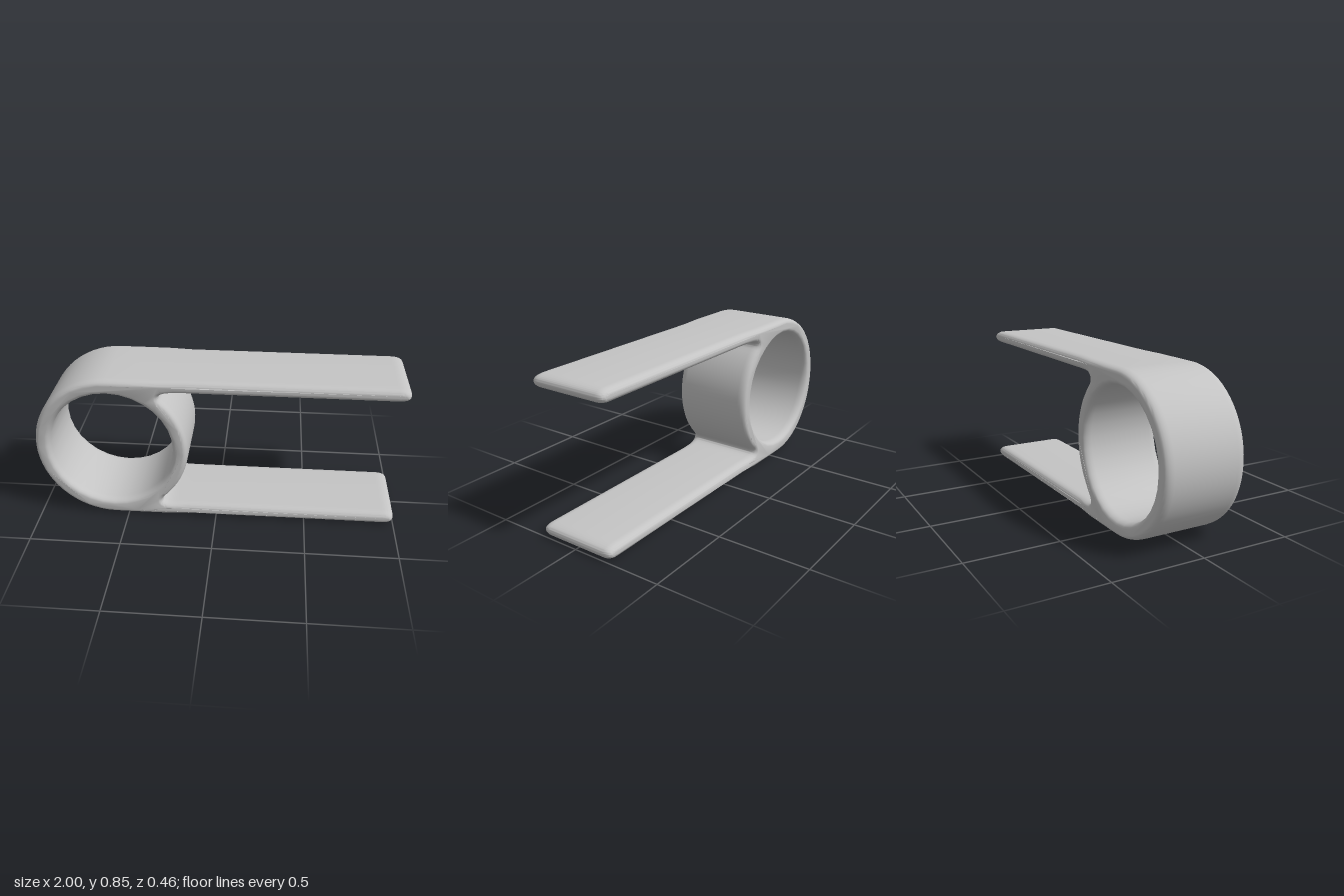
import * as THREE from 'three';
import { toCreasedNormals } from 'three/addons/utils/BufferGeometryUtils.js';

const CX = -0.575, CY = 0.425, H = 0.85; // ring centre and overall height

// Side outline: round ring merging into two parallel flat arms
function clipOutline() {
  const s = new THREE.Shape();
  s.moveTo(CX, 0);
  for (const x of [-0.45, -0.3, -0.16, 0.93]) s.lineTo(x, 0);
  // lower arm with rounded tip
  s.bezierCurveTo(0.98, 0, 1, 0.015, 1, 0.036);
  s.bezierCurveTo(1, 0.058, 0.98, 0.07, 0.93, 0.07);
  s.lineTo(-0.16, 0.07);
  s.lineTo(-0.22, 0.07);
  // fillet, inner wall of the ring, fillet
  s.bezierCurveTo(-0.29, 0.07, -0.32, 0.085, -0.289, 0.118);
  s.absarc(CX, CY, 0.42, -0.82, 0.82, false);
  s.bezierCurveTo(-0.32, H - 0.085, -0.29, H - 0.07, -0.22, H - 0.07);
  s.lineTo(-0.16, H - 0.07);
  // upper arm with rounded tip
  s.lineTo(0.93, H - 0.07);
  s.bezierCurveTo(0.98, H - 0.07, 1, H - 0.058, 1, H - 0.036);
  s.bezierCurveTo(1, H - 0.015, 0.98, H, 0.93, H);
  for (const x of [-0.16, -0.3, -0.45]) s.lineTo(x, H);
  // back of the ring
  s.absarc(CX, CY, 0.425, Math.PI / 2, Math.PI * 1.5, false);
  // bore through the ring
  const bore = new THREE.Path();
  bore.absarc(CX - 0.003, CY, 0.34, 0, Math.PI * 2, true);
  s.holes.push(bore);
  return s;
}

export function createModel() {
  const group = new THREE.Group();
  const grey = new THREE.MeshStandardMaterial({ color: 0xc4c4c4 });
  grey.name = 'lightGrey';

  const half = 0.22, bevel = 0.045;
  const geo = new THREE.ExtrudeGeometry(clipOutline(), {
    depth: 2 * (half - bevel), curveSegments: 16,
    bevelEnabled: true, bevelThickness: bevel, bevelSize: 0.026, bevelOffset: -0.026, bevelSegments: 5,
  });
  geo.translate(0, 0, -(half - bevel));

  // Ring is slightly wider than the arms, most of all near its top and bottom
  const p = geo.attributes.position;
  for (let i = 0; i < p.count; i++) {
    const ring = 1 - THREE.MathUtils.smoothstep(p.getX(i), -0.33, -0.15);
    const ends = Math.abs(p.getY(i) - CY) / CY;
    const waist = p.getX(i) > -0.25 && ends < 0.75 ? 0.025 : 0;
    p.setZ(i, p.getZ(i) * (1 + Math.max(waist, ring * (0.025 + 0.035 * ends * ends))));
  }

  const clip = new THREE.Mesh(toCreasedNormals(geo, 0.7), grey);
  clip.name = 'ringWithArms';
  group.add(clip);
  return group;
}
